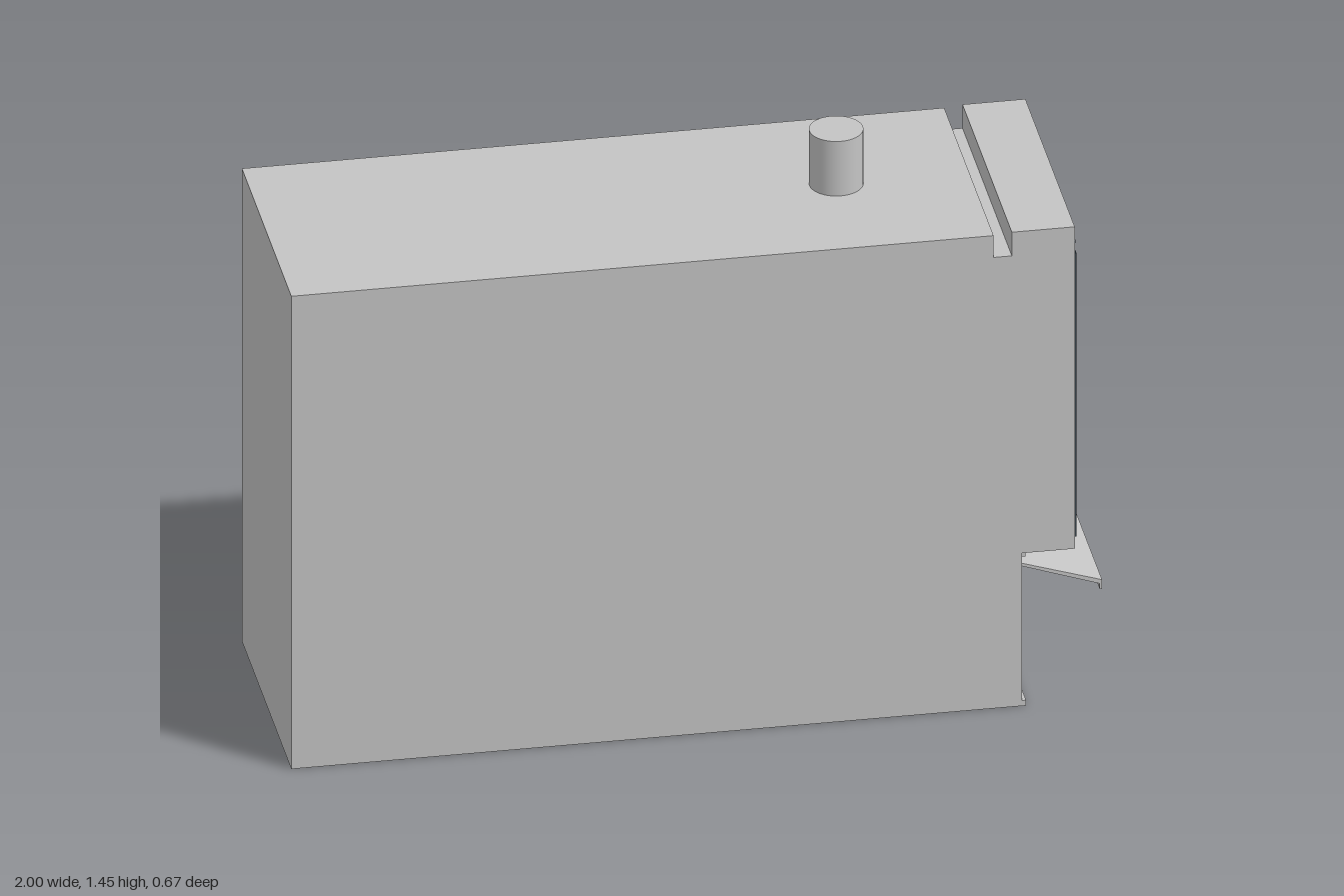
import * as THREE from 'three';

export function createModel() {
  const root = new THREE.Group();
  root.name = 'townhouse';
  const mat = (name, color, side = THREE.FrontSide) => {
    const m = new THREE.MeshStandardMaterial({ color, side });
    m.name = name;
    return m;
  };
  const wall = mat('wall grey', 0xc4c4c4);
  const dark = mat('dark glass and metal', 0x36424a);

  const group = (name, parent = root) => {
    const g = new THREE.Group();
    g.name = name;
    parent.add(g);
    return g;
  };
  const add = (parent, name, geo, m) => {
    const mesh = new THREE.Mesh(geo, m);
    mesh.name = name;
    parent.add(mesh);
    return mesh;
  };
  // Box given by its limits on each axis
  const box = (parent, name, m, x0, x1, y0, y1, z0, z1) => {
    const mesh = add(parent, name, new THREE.BoxGeometry(x1 - x0, y1 - y0, z1 - z0), m);
    mesh.position.set((x0 + x1) / 2, (y0 + y1) / 2, (z0 + z1) / 2);
    return mesh;
  };
  // Side profile in x and y, extruded from z0 to z1
  const slab = (parent, name, m, pts, z0, z1) => {
    const shape = new THREE.Shape(pts.map(([x, y]) => new THREE.Vector2(x, y)));
    const geo = new THREE.ExtrudeGeometry(shape, { depth: z1 - z0, bevelEnabled: false });
    geo.translate(0, 0, z0);
    return add(parent, name, geo, m);
  };

  const W = 0.333, IN = 0.302, BACK = 0.775;
  const roof = [[0.93, 1.305], [0.775, 1.305], [0.775, 1.24], [0.73, 1.24], [0.73, 1.3], [-1, 1.3]];

  // Party walls, with the roof slot and the overhanging upper floors
  const sidePts = [[-1, 0], [0.8, 0], [0.8, 0.42], [0.93, 0.42], ...roof];
  slab(root, 'leftPartyWall', wall, sidePts, IN, W);
  slab(root, 'rightPartyWall', wall, sidePts, -W, -IN);

  // Core with the shop room, balcony slab and balcony recess
  slab(root, 'core', wall, [
    [-1, 0], [0.8, 0], [0.8, 0.015], [0.1, 0.015], [0.1, 0.37], [0.8, 0.37], [0.8, 0.43],
    [0.925, 0.43], [0.925, 0.475], [BACK, 0.475], [BACK, 1.235], [0.93, 1.235], ...roof,
  ], -IN, IN);
  box(root, 'plinth', wall, 0.8, 0.81, 0, 0.015, -W, W);
  for (const s of [-1, 1]) {
    const z = s * 0.296;
    box(root, 'shopJamb', wall, 0.74, 0.8, 0.015, 0.37, z - 0.006, z + 0.006);
    box(root, 'facadeStrip', dark, 0.929, 0.935, 0.45, 1.23, s * 0.32 - 0.007, s * 0.32 + 0.007);
  }
  box(root, 'parapetStrip', dark, 0.929, 0.932, 1.261, 1.267, -W, W);

  // Roof tank
  const tank = add(root, 'roofTank', new THREE.CylinderGeometry(0.066, 0.066, 0.15, 48), wall);
  tank.position.set(0.403, 1.375, 0);

  // Ledges
  box(root, 'upperLedge', wall, BACK, 0.87, 1.15, 1.165, -0.3, 0.3);
  box(root, 'middleLedge', wall, BACK, 0.805, 0.82, 0.835, -0.3, 0.3);
  box(root, 'middleLedgeBase', wall, BACK, 0.79, 0.797, 0.82, -0.3, 0.3);
  box(root, 'shopCornice', wall, 0.8, 0.83, 0.41, 0.43, -0.295, 0.295);
  box(root, 'shopCorniceBase', wall, 0.8, 0.815, 0.39, 0.41, -0.295, 0.295);

  // Sloping canopy with a small front lip
  slab(root, 'canopy', wall, [
    [0.8, 0.377], [0.994, 0.31], [0.994, 0.295], [1, 0.295], [1, 0.32], [0.8, 0.385],
  ], -0.318, 0.318);

  // Upper windows: four sashes below a transom
  for (const c of [-0.155, 0.155]) {
    const g = group('window');
    box(g, 'glass', dark, BACK, 0.78, 0.925, 1.14, c - 0.133, c + 0.133);
    box(g, 'sill', wall, BACK, 0.795, 0.915, 0.925, c - 0.14, c + 0.14);
    box(g, 'head', dark, BACK, 0.79, 1.132, 1.142, c - 0.135, c + 0.135);
    for (const s of [-1, 1]) {
      const z = c + s * 0.131;
      box(g, 'windowJamb', dark, BACK, 0.79, 0.925, 1.14, z - 0.004, z + 0.004);
    }
    for (let i = 0; i < 4; i++) {
      const z = c + (i - 1.5) * 0.064;
      for (const s of [-1, 1]) {
        const e = z + s * 0.028;
        box(g, 'sashStile', wall, 0.778, 0.784, 0.935, 1.088, e - 0.0015, e + 0.0015);
      }
      for (const y of [0.935, 1.088]) {
        box(g, 'sashRail', wall, 0.778, 0.784, y - 0.0015, y + 0.0015, z - 0.028, z + 0.028);
      }
    }
  }

  // Balcony doors
  const doors = group('balconyDoors');
  box(doors, 'doorGlass', dark, BACK, 0.78, 0.476, 0.79, -0.29, 0.29);
  for (let i = 0; i <= 4; i++) {
    const z = (i - 2) * 0.143;
    box(doors, 'doorStile', dark, 0.778, 0.786, 0.476, 0.79, z - 0.005, z + 0.005);
  }
  box(doors, 'doorLamp', wall, 0.778, 0.8, 0.788, 0.797, -0.01, 0.01);
  for (const z of [-0.014, 0.014]) {
    box(doors, 'doorHandle', wall, 0.784, 0.79, 0.6, 0.625, z - 0.0015, z + 0.0015);
  }

  // Balcony railing: plain bars on one half, scrollwork on the other
  const rail = group('balconyRailing');
  for (const y of [0.485, 0.59]) box(rail, 'handRail', dark, 0.908, 0.918, y - 0.003, y + 0.003, -0.3, 0.3);
  for (let i = 0; i <= 44; i++) {
    const z = -0.295 + (i * 0.59) / 44;
    box(rail, 'baluster', dark, 0.911, 0.915, 0.475, 0.59, z - 0.002, z + 0.002);
  }
  const ring = new THREE.TorusGeometry(0.009, 0.0013, 5, 12).rotateY(Math.PI / 2);
  for (let i = 0; i < 12; i++) {
    for (let j = 0; j < 2; j++) {
      const m = add(rail, 'scroll', ring, (i + j) % 2 ? wall : dark);
      m.position.set(0.916, 0.54 + j * 0.02, 0.04 + i * 0.0215 + j * 0.008);
    }
  }
  box(rail, 'railTrim', wall, 0.914, 0.917, 0.526, 0.529, -0.13, -0.075);

  // Shop front frame
  const shop = group('shopFront');
  for (let i = 0; i <= 4; i++) {
    const z = (i - 2) * 0.145;
    box(shop, 'post', dark, 0.768, 0.782, 0.015, 0.37, z - 0.004, z + 0.004);
  }
  for (const [y, h] of [[0.025, 0.008], [0.11, 0.004], [0.3, 0.004], [0.365, 0.005]]) {
    box(shop, 'crossRail', dark, 0.768, 0.782, y - h, y + h, -0.29, 0.29);
  }
  for (const c of [-0.145, 0.145]) {
    for (const s of [-0.012, 0.012]) {
      box(shop, 'pullHandle', wall, 0.782, 0.788, 0.1, 0.13, c + s - 0.002, c + s + 0.002);
    }
  }
  return root;
}
